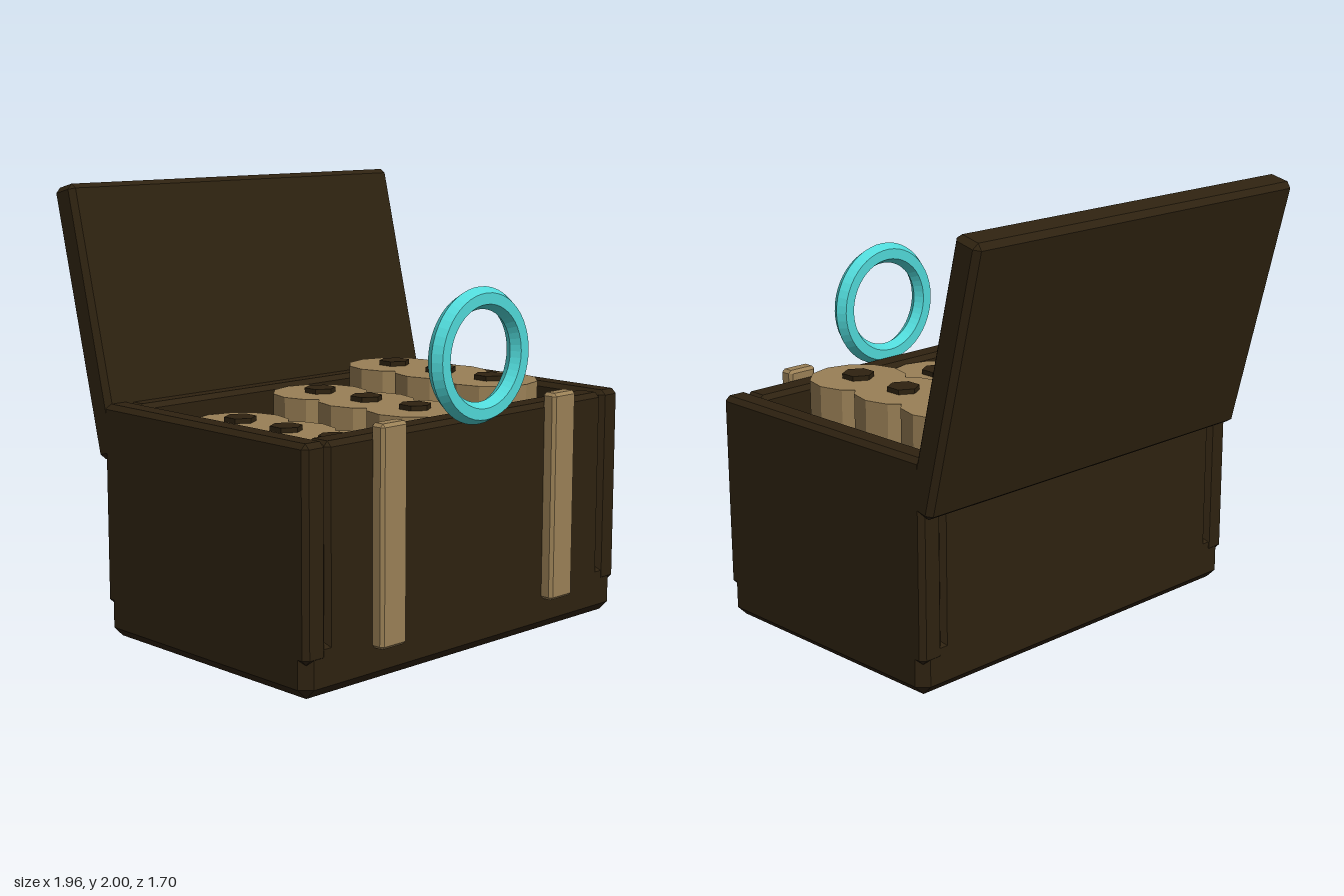
import * as THREE from 'three';
import { ConvexGeometry } from 'three/addons/geometries/ConvexGeometry.js';

const material = (name, color) => {
  const m = new THREE.MeshStandardMaterial({ color, flatShading: true });
  m.name = name;
  return m;
};

// Box with chamfered edges, given its full size and chamfer width
function chamferBox(w, h, d, c) {
  const half = [w / 2, h / 2, d / 2];
  const points = [];
  for (const sx of [-1, 1]) for (const sy of [-1, 1]) for (const sz of [-1, 1]) {
    for (let full = 0; full < 3; full++) {
      const p = half.map((v, i) => (i === full ? v : v - c));
      points.push(new THREE.Vector3(sx * p[0], sy * p[1], sz * p[2]));
    }
  }
  return new ConvexGeometry(points);
}

export function createModel() {
  const model = new THREE.Group();
  model.name = 'openChest';
  const wood = material('darkWood', 0x2e2210);
  const tan = material('tan', 0x9a8056);
  const cyan = material('cyan', 0x50d8d8);

  const add = (name, geometry, mat, x, y, z, parent = model) => {
    const mesh = new THREE.Mesh(geometry, mat);
    mesh.name = name;
    mesh.position.set(x, y, z);
    parent.add(mesh);
    return mesh;
  };
  // Chamfered box given by its lower and upper corners
  const slab = (name, mat, a, b, c) => add(
    name, chamferBox(b[0] - a[0], b[1] - a[1], b[2] - a[2], c), mat,
    (a[0] + b[0]) / 2, (a[1] + b[1]) / 2, (a[2] + b[2]) / 2);

  // Chest body
  slab('base', wood, [-0.98, 0, -0.512], [0.98, 0.25, 0.788], 0.046);
  slab('leftWall', wood, [0.86, 0.15, -0.515], [0.98, 1.05, 0.79], 0.022);
  slab('rightWall', wood, [-0.98, 0.15, -0.515], [-0.86, 1.05, 0.79], 0.022);
  slab('frontWall', wood, [-0.86, 0.15, 0.66], [0.86, 1.045, 0.788], 0.022);
  slab('backWall', wood, [-0.86, 0.15, -0.512], [0.86, 1.045, -0.395], 0.022);

  // Lid, leaning back
  const lid = add('lid', chamferBox(1.96, 1.215, 0.138, 0.024), wood, 0, 1.397, -0.637);
  lid.rotation.x = THREE.MathUtils.degToRad(-14);

  // Front straps
  for (const [name, x] of [['leftStrap', 0.532], ['rightStrap', -0.532]]) {
    slab(name, tan, [x - 0.075, 0.15, 0.772], [x + 0.075, 1.09, 0.845], 0.014);
  }

  // Ring above the front edge
  add('ring', new THREE.TorusGeometry(0.245, 0.048, 6, 48), cyan, 0, 1.303, 0.81);

  // Rolls in three columns of stepped height, each with a hexagonal core
  const floor = 0.24;
  const rolls = new THREE.Group();
  rolls.name = 'rolls';
  model.add(rolls);
  [[-0.485, 0.955], [0, 1.03], [0.485, 1.107]].forEach(([x, top]) => {
    const h = top - floor;
    const rollShape = new THREE.CylinderGeometry(0.22, 0.22, h, 12);
    const coreShape = new THREE.CylinderGeometry(0.073, 0.073, h + 0.022, 6);
    for (const z of [-0.17, 0.133, 0.437]) {
      add('roll', rollShape, tan, x, floor + h / 2, z, rolls);
      add('rollCore', coreShape, wood, x, floor + h / 2 + 0.011, z, rolls);
    }
  });
  return model;
}
